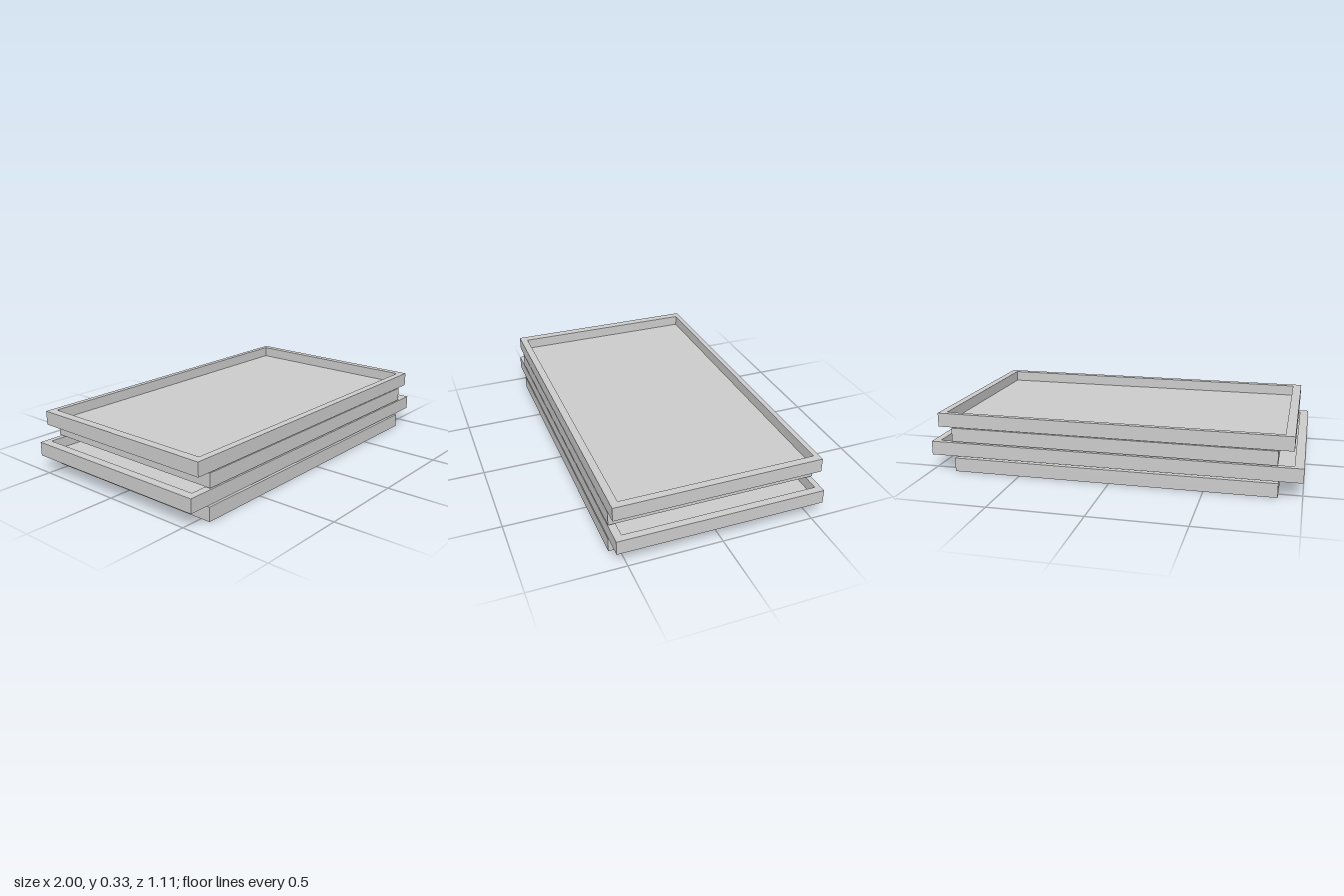
import * as THREE from 'three';

const DEPTH = 1.11, HEIGHT = 0.076, FLOOR = 0.018;
const WALL = { left: 0.041, right: 0.049, back: 0.03, front: 0.04 };

// Corners of a rectangle as a closed outline
const rect = (x0, x1, y0, y1) => [[x0, y0], [x1, y0], [x1, y1], [x0, y1]].map(([x, y]) => new THREE.Vector2(x, y));

// Open tray: solid floor slab with a rectangular rim standing on it
function makeTray(name, x0, x1, y, material) {
  const tray = new THREE.Group();
  tray.name = name;
  const h = DEPTH / 2;

  const floor = new THREE.Mesh(new THREE.BoxGeometry(x1 - x0, FLOOR, DEPTH), material);
  floor.name = 'trayFloor';
  floor.position.set((x0 + x1) / 2, FLOOR / 2, 0);

  // The outline lies in x and -z, then is turned to stand upright
  const outline = new THREE.Shape(rect(x0, x1, -h, h));
  outline.holes.push(new THREE.Path(rect(x0 + WALL.right, x1 - WALL.left, -h + WALL.front, h - WALL.back)));
  const rimGeometry = new THREE.ExtrudeGeometry(outline, { depth: HEIGHT - FLOOR, bevelEnabled: false });
  rimGeometry.rotateX(-Math.PI / 2);
  const rim = new THREE.Mesh(rimGeometry, material);
  rim.name = 'trayRim';
  rim.position.y = FLOOR;

  tray.add(floor, rim);
  tray.position.y = y;
  return tray;
}

export function createModel() {
  const model = new THREE.Group();
  model.name = 'trayStack';
  const material = new THREE.MeshStandardMaterial({ color: 0xcccccc });

  // Four loosely stacked trays: right edge, left edge, height of underside
  const trays = [
    ['bottomTray', -0.877, 0.868, 0],
    ['lowerTray', -1, 1, 0.087],
    ['upperTray', -0.87, 0.878, 0.17],
    ['topTray', -0.948, 0.953, 0.25],
  ];
  for (const [name, x0, x1, y] of trays) model.add(makeTray(name, x0, x1, y, material));
  return model;
}
